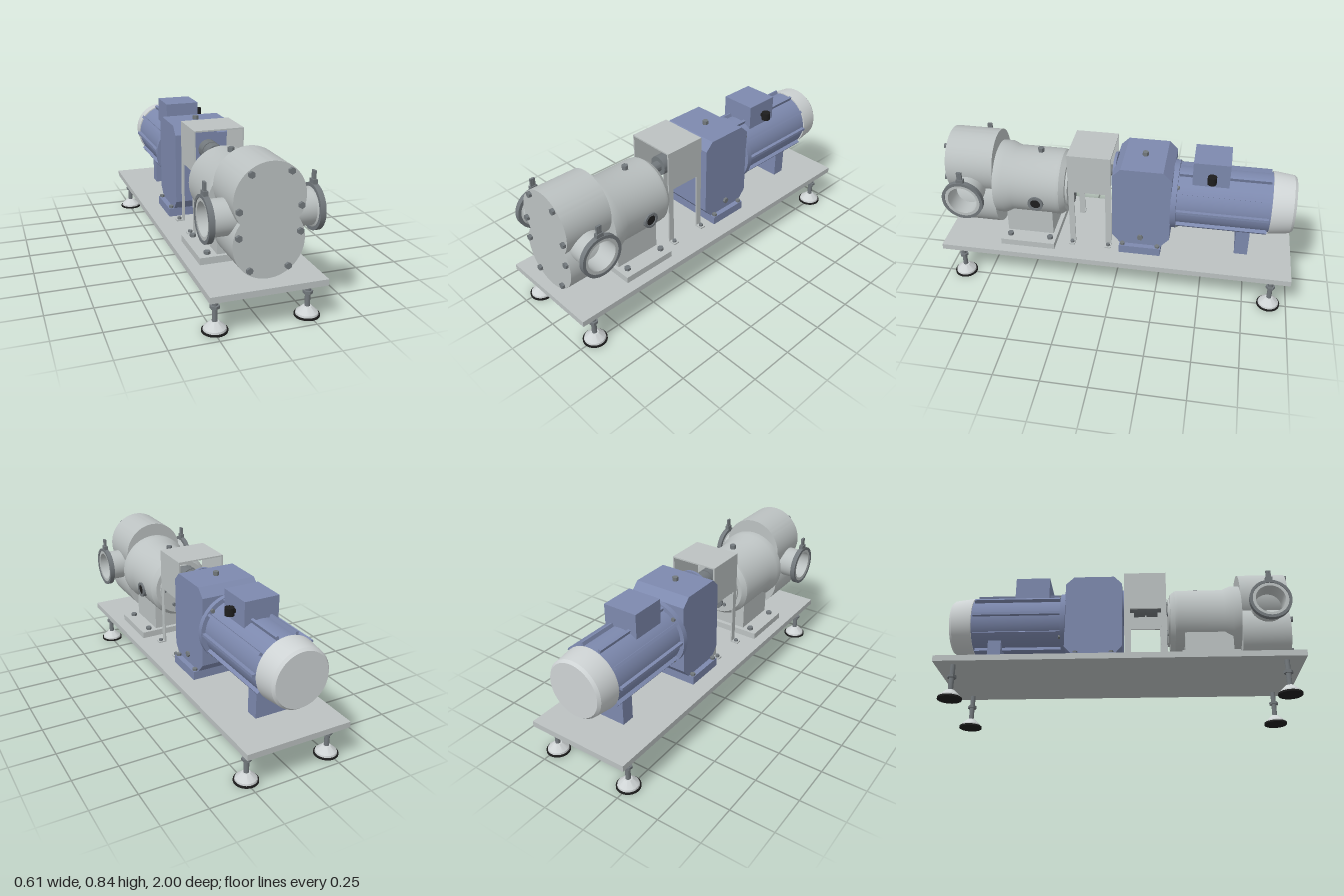
import * as THREE from 'three';
import { toCreasedNormals } from 'three/addons/utils/BufferGeometryUtils.js';

const paint = (name, color) => {
  const m = new THREE.MeshStandardMaterial({ color });
  m.name = name;
  return m;
};

export function createModel() {
  const model = new THREE.Group();
  model.name = 'pumpUnit';
  const steel = paint('steel', 0xbcc2c2);
  const brightSteel = paint('brightSteel', 0xced3d4);
  const darkSteel = paint('darkSteel', 0x73797d);
  const blue = paint('blue', 0x7d89ae);
  const black = paint('black', 0x1e1e1e);

  const add = (name, geo, mat, x = 0, y = 0, z = 0, parent = model) => {
    const mesh = new THREE.Mesh(geo, mat);
    mesh.name = name;
    mesh.position.set(x, y, z);
    parent.add(mesh);
    return mesh;
  };
  // Box given by its limits on each axis
  const box = (name, mat, [x0, x1], [y0, y1], [z0, z1], parent) =>
    add(name, new THREE.BoxGeometry(x1 - x0, y1 - y0, z1 - z0), mat,
      (x0 + x1) / 2, (y0 + y1) / 2, (z0 + z1) / 2, parent);
  // Turned part: [radius, distance along axis] points, outer wall running forward
  const turned = (points, axis = 'y', sides = 48) => {
    const g = new THREE.LatheGeometry(points.map(p => new THREE.Vector2(...p)), sides);
    if (axis === 'z') g.rotateX(Math.PI / 2);
    if (axis === 'x') g.rotateZ(-Math.PI / 2);
    return toCreasedNormals(g, 0.45);
  };
  const rod = (r, a, b, axis, sides) => turned([[0, a], [r, a], [r, b], [0, b]], axis, sides);
  const hex = (name, x, y, z, axis = 'y', r = 0.017, h = 0.015, mat = darkSteel) =>
    add(name, rod(r, 0, h, axis, 6), mat, x, y, z);

  // Base plate and levelling feet
  box('basePlate', steel, [-0.3, 0.3], [0.2, 0.233], [-1, 1]);
  for (const x of [-0.242, 0.242]) for (const z of [-0.9, 0.9]) {
    const foot = new THREE.Group();
    foot.name = 'levellingFoot';
    foot.position.set(x, 0, z);
    model.add(foot);
    add('footPad', rod(0.065, 0, 0.01), black, 0, 0, 0, foot);
    add('footCone', turned([[0, 0.01], [0.058, 0.01], [0.056, 0.02], [0.022, 0.052], [0, 0.055]]), brightSteel, 0, 0, 0, foot);
    add('footStem', rod(0.014, 0.05, 0.2, 'y', 20), darkSteel, 0, 0, 0, foot);
    add('footNut', rod(0.026, 0.122, 0.137, 'y', 6), darkSteel, 0, 0, 0, foot);
  }

  // Two-lobed pump head
  const midY = 0.552, lobeR = 0.18, lobeY = 0.106;
  const dip = Math.asin(lobeY / lobeR);
  const lobes = new THREE.Shape();
  lobes.absarc(0, lobeY, lobeR, -dip, Math.PI + dip, false);
  lobes.absarc(0, -lobeY, lobeR, Math.PI - dip, 2 * Math.PI + dip, false);
  const head = new THREE.ExtrudeGeometry(lobes, { depth: 0.27, bevelEnabled: false, curveSegments: 40 });
  add('pumpHead', toCreasedNormals(head, 0.45), steel, 0, midY, 0.69);
  for (const s of [-1, 1])
    for (const [x, y] of [[0.097, 0.785], [0.153, 0.615], [0.153, 0.488], [0.097, 0.32]])
      hex('headBolt', s * x, y, 0.96, 'z');

  // Side ports with clamp rings
  for (const s of [-1, 1]) {
    const port = new THREE.Group();
    port.name = 'port';
    port.position.set(0, midY, 0.84);
    port.rotation.y = s > 0 ? 0 : Math.PI;
    model.add(port);
    add('portPipe', turned([[0.09, 0.09], [0.09, 0.255], [0.102, 0.262], [0.102, 0.284],
      [0.083, 0.284], [0.083, 0.09], [0.09, 0.09]], 'x'), steel, 0, 0, 0, port);
    add('clampRing', turned([[0.091, 0.26], [0.117, 0.26], [0.117, 0.288], [0.1, 0.288], [0.1, 0.275]], 'x'), darkSteel, 0, 0, 0, port);
    box('clampLug', darkSteel, [0.262, 0.285], [0.11, 0.138], [-0.02, 0.02], port);
    add('clampScrew', rod(0.007, 0.13, 0.181, 'y', 12), darkSteel, 0.274, 0, 0, port);
    box('clampWingNut', darkSteel, [0.268, 0.28], [0.138, 0.181], [-0.014, 0.014], port);
  }

  // Pump gear housing
  add('pumpHousing', turned([[0, 0.278], [0.14, 0.278], [0.14, 0.29], [0.165, 0.29], [0.187, 0.318],
    [0.19, 0.335], [0.19, 0.595], [0.21, 0.64], [0.21, 0.69], [0, 0.69]], 'z', 64), steel, 0, midY, 0);
  hex('housingFillerPlug', 0, 0.738, 0.448, 'y', 0.018, 0.028);
  add('sightGlassRing', turned([[0, 0.15], [0.044, 0.15], [0.044, 0.2], [0.029, 0.2], [0.029, 0.192]], 'x', 32), darkSteel, 0, 0.513, 0.449);
  add('sightGlass', rod(0.03, 0.15, 0.195, 'x', 32), black, 0, 0.513, 0.449);
  add('lowerBearingCap', rod(0.045, 0.266, 0.28, 'z', 32), darkSteel, 0, 0.46, 0);
  for (let i = 0; i < 6; i++) {
    const a = (i + 0.5) * Math.PI / 3;
    hex('rearCoverBolt', 0.115 * Math.sin(a), midY + 0.115 * Math.cos(a), 0.268, 'z', 0.012, 0.012);
  }

  // Pump pedestal
  box('pumpFootPlate', steel, [-0.237, 0.237], [0.233, 0.27], [0.345, 0.66]);
  box('pumpPedestal', steel, [-0.14, 0.14], [0.27, 0.43], [0.37, 0.64]);
  for (const x of [-0.185, 0.185]) for (const z of [0.38, 0.615])
    hex('pumpFootBolt', x, 0.27, z, 'y', 0.018);

  // Drive shaft and coupling
  const shaftY = 0.658;
  add('driveShaft', rod(0.03, 0.0, 0.29, 'z', 32), darkSteel, 0, shaftY, 0);
  add('coupling', turned([[0, 0.08], [0.055, 0.08], [0.055, 0.145], [0.045, 0.145], [0.045, 0.155],
    [0.055, 0.155], [0.055, 0.22], [0, 0.22]], 'z', 40), darkSteel, 0, shaftY, 0);

  // Coupling guard: bent sheet on four legs
  const sheet = new THREE.Shape([[-0.14, 0.58], [-0.132, 0.58], [-0.132, 0.807], [0.132, 0.807],
    [0.132, 0.58], [0.14, 0.58], [0.14, 0.815], [-0.14, 0.815]].map(p => new THREE.Vector2(...p)));
  add('couplingGuard', new THREE.ExtrudeGeometry(sheet, { depth: 0.243, bevelEnabled: false }), steel, 0, 0, 0.027);
  for (const s of [-1, 1]) for (const z of [0.0435, 0.2535]) {
    box('guardLeg', steel, [s * 0.136 - 0.004, s * 0.136 + 0.004], [0.233, 0.58], [z - 0.0165, z + 0.0165]);
    box('guardTab', steel, [s * 0.158 - 0.022, s * 0.158 + 0.022], [0.233, 0.241], [z - 0.0165, z + 0.0165]);
    hex('guardBolt', s * 0.161, 0.241, z, 'y', 0.012, 0.012);
  }

  // Gearbox with chamfered edges
  const side = new THREE.Shape([[0.016, 0.335], [0.016, 0.73], [-0.03, 0.777], [-0.262, 0.777],
    [-0.31, 0.73], [-0.31, 0.335], [-0.262, 0.28], [-0.03, 0.28]].map(([z, y]) => new THREE.Vector2(-z, y)));
  const caseGeo = new THREE.ExtrudeGeometry(side, { depth: 0.34, bevelEnabled: false });
  caseGeo.translate(0, 0, -0.17).rotateY(Math.PI / 2);
  add('gearboxCase', caseGeo, blue);
  box('gearboxFoot', blue, [-0.2, 0.2], [0.233, 0.282], [-0.263, -0.027]);
  add('outputFlange', rod(0.107, 0.01, 0.025, 'z'), blue, 0, shaftY, 0);
  hex('gearboxFillerPlug', 0, 0.777, -0.145, 'y', 0.017, 0.022);
  hex('gearboxDrainPlug', 0.17, 0.335, -0.145, 'x', 0.017, 0.013);
  for (const x of [-0.184, 0.184]) for (const z of [-0.245, -0.045])
    hex('gearboxFootBolt', x, 0.282, z, 'y', 0.014, 0.013);

  // Motor
  const motorY = 0.54;
  add('motorFlange', rod(0.193, -0.338, -0.308, 'z', 64), blue, 0, motorY, 0);
  add('motorBody', rod(0.168, -0.86, -0.33, 'z', 64), blue, 0, motorY, 0);
  for (let i = 0; i < 10; i++) {
    const a = (i + 0.5) * Math.PI / 5;
    const rib = add('motorRib', new THREE.BoxGeometry(0.015, 0.03, 0.5), blue,
      0.173 * Math.sin(a), motorY + 0.173 * Math.cos(a), -0.59);
    rib.rotation.z = -a;
  }
  for (let i = 0; i < 4; i++) {
    const a = (i + 0.5) * Math.PI / 2;
    hex('motorFlangeBolt', 0.18 * Math.sin(a), motorY + 0.18 * Math.cos(a), -0.35, 'z', 0.012, 0.013);
  }
  add('fanCover', turned([[0, -0.98], [0.15, -0.98], [0.162, -0.965], [0.175, -0.86], [0.175, -0.85], [0.16, -0.85]], 'z', 64), brightSteel, 0, motorY, 0);
  box('motorFoot', blue, [-0.105, 0.105], [0.233, 0.44], [-0.755, -0.68]);

  // Terminal box and cable gland
  box('terminalBox', blue, [-0.1, 0.1], [0.66, 0.815], [-0.615, -0.415]);
  add('cableGland', rod(0.025, 0.715, 0.758, 'y', 24), black, 0.13, 0, -0.52);
  add('glandNeck', rod(0.014, 0.095, 0.13, 'x', 16), black, 0, 0.735, -0.52);

  return model;
}
